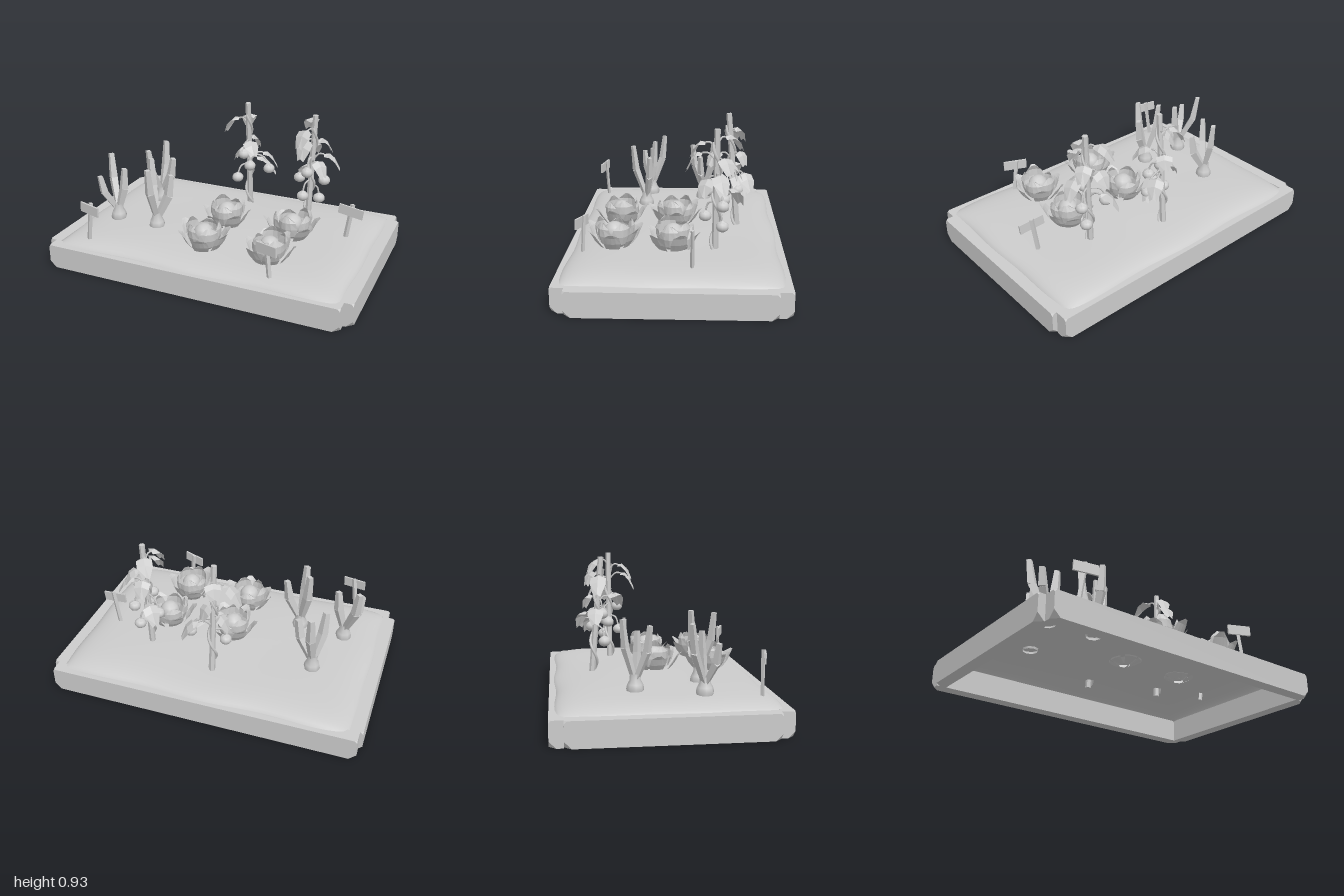
import * as THREE from 'three';
import { ParametricGeometry } from 'three/addons/geometries/ParametricGeometry.js';
import { ConvexGeometry } from 'three/addons/geometries/ConvexGeometry.js';

const smooth = new THREE.MeshStandardMaterial({ color: 0xcccccc, side: THREE.DoubleSide });
const faceted = new THREE.MeshStandardMaterial({ color: 0xcccccc, side: THREE.DoubleSide, flatShading: true });
const V = (x, y, z) => new THREE.Vector3(x, y, z);

function add(parent, name, geometry, material = faceted) {
  const mesh = new THREE.Mesh(geometry, material);
  mesh.name = name;
  parent.add(mesh);
  return mesh;
}

function group(parent, name) {
  const g = new THREE.Group();
  g.name = name;
  parent.add(g);
  return g;
}

// Straight tapered rod between two points
function rod(parent, name, a, b, r0, r1, sides = 6, flat = 1) {
  const mesh = add(parent, name, new THREE.CylinderGeometry(r1, r0, a.distanceTo(b), sides).scale(1, 1, flat));
  mesh.position.copy(a).lerp(b, 0.5);
  mesh.quaternion.setFromUnitVectors(V(0, 1, 0), b.clone().sub(a).normalize());
}

function tube(parent, name, points, radius, segments = 8) {
  add(parent, name, new THREE.TubeGeometry(new THREE.CatmullRomCurve3(points), segments, radius, 5), smooth);
}

// Linear lookup in a short list
function sample(list, t) {
  const f = t * (list.length - 1), i = Math.min(Math.floor(f), list.length - 2);
  return THREE.MathUtils.lerp(list[i], list[i + 1], f - i);
}

// Frame board whose outer corners are chipped off
function plank(parent, name, length, x, z, turn) {
  const points = [];
  for (const sx of [-1, 1]) for (const y of [0, 0.15]) {
    const px = sx * length / 2, c = y ? 0.015 : 0.04, up = y ? -c : c;
    points.push(V(px, y, -0.04), V(px - sx * c, y, 0.04), V(px, y + up, 0.04), V(px, y, 0.04 - c));
  }
  const mesh = add(parent, name, new ConvexGeometry(points));
  mesh.position.set(x, 0, z);
  mesh.rotation.y = turn;
}

// Gently domed soil with steep shoulders, a little higher along its left side
function soil(parent) {
  const ease = (s) => Math.sign(s) * (1 - Math.pow(1 - Math.abs(s), 1.7));
  const geo = new ParametricGeometry((u, v, p) => {
    const a = ease(u * 2 - 1), b = ease(1 - v * 2);
    const shoulder = Math.pow((1 - Math.pow(Math.abs(a), 12)) * (1 - Math.pow(Math.abs(b), 10)), 0.6);
    const dome = 0.022 * (1 - a * a * (0.55 - 0.45 * a)) * (1 - b * b);
    const y = 0.138 + shoulder * (0.052 + dome) + 0.004 * Math.sin(a * 5 + 1) * Math.cos(b * 4);
    p.set(a * (0.935 - 0.01 * b * b + 0.004 * Math.sin(b * 7)), y, b * (0.632 - 0.01 * a * a + 0.008 * Math.cos(a * 8)));
  }, 36, 28);
  add(parent, 'soil', geo, smooth);
}

// Leek: bulb and three stiff, kinked leaves
function leek(parent, x, z, tips) {
  const g = group(parent, 'leek');
  const profile = [[0.046, 0.188], [0.052, 0.215], [0.046, 0.24], [0.032, 0.265], [0.03, 0.3]];
  const bulb = add(g, 'leekBulb', new THREE.LatheGeometry(profile.map(([r, y]) => new THREE.Vector2(r, y)), 8), smooth);
  bulb.position.set(x, 0, z);
  for (const [tx, ty, tz] of tips) {
    const base = V(x, 0.25, z), tip = V(tx, ty, tz);
    const knee = V(x + (tx - x) * 0.8, 0.25 + (ty - 0.25) * 0.55, z + (tz - z) * 0.8);
    rod(g, 'leekLeafLower', base, knee, 0.022, 0.033, 4, 0.75);
    rod(g, 'leekLeafUpper', knee, tip, 0.033, 0.022, 4, 0.75);
  }
}

// Cabbage: round heart wrapped in rings of cupped, uneven leaves
function cabbage(parent, x, z, turn) {
  const g = group(parent, 'cabbage');
  g.position.set(x, 0.2, z);
  g.rotation.y = turn;
  add(g, 'cabbageHeart', new THREE.SphereGeometry(0.066, 10, 7), smooth).position.y = 0.085;
  const widths = [0.3, 0.8, 1, 0.85, 0.25];
  const rings = [
    { n: 5, w: 0.066, cup: 0.035, r: [0.035, 0.092, 0.11, 0.112, 0.095], y: [-0.015, 0.03, 0.08, 0.125, 0.16] },
    { n: 6, w: 0.052, cup: 0.015, r: [0.03, 0.095, 0.128, 0.15, 0.17], y: [-0.02, 0.008, 0.05, 0.095, 0.12] },
  ];
  rings.forEach(({ n, w, cup, r, y }, k) => {
    for (let i = 0; i < n; i++) {
      const lift = 1 + 0.1 * Math.sin(i * 2.3 + k), spread = 1 + 0.08 * Math.cos(i * 3.7 + turn);
      const geo = new ParametricGeometry((u, t, p) => {
        const s = u * 2 - 1;
        p.set(s * w * sample(widths, t), sample(y, t) * lift, sample(r, t) * spread - cup * s * s * Math.sin(t * Math.PI));
      }, 4, 4);
      const leaf = add(g, k ? 'cabbageOuterLeaf' : 'cabbageInnerLeaf', geo);
      leaf.rotation.y = (i / n) * Math.PI * 2 + k * 0.5 + 0.12 * Math.sin(i * 4 + turn);
    }
  });
}

// Broad drooping leaf, arched along its length and folded along the midrib
function droopingLeaf(parent, a, b, width) {
  const side = b.clone().sub(a).cross(V(0, 1, 0)).normalize();
  const widths = [0.35, 1, 1, 0.45];
  const geo = new ParametricGeometry((u, t, p) => {
    const s = u * 2 - 1;
    p.copy(a).lerp(b, t).addScaledVector(side, s * width * sample(widths, t));
    p.y += 0.04 * Math.sin(t * Math.PI) - 0.015 * Math.abs(s);
  }, 2, 3);
  add(parent, 'tomatoLeaf', geo);
}

// Tomato plant: stake, twining vine, leaves and hanging fruit
function tomatoPlant(parent, foot, top, leaves, fruits) {
  const g = group(parent, 'tomatoPlant');
  const along = (y) => foot.clone().lerp(top, (y - foot.y) / (top.y - foot.y));
  rod(g, 'stake', foot, top, 0.02, 0.018, 6);
  const vine = [];
  for (let i = 0; i <= 16; i++) {
    const angle = i * 0.9, reach = 0.028 - i * 0.0004;
    vine.push(along(0.18 + i * 0.042).add(V(Math.cos(angle) * reach, 0, Math.sin(angle) * reach)));
  }
  tube(g, 'vine', vine, 0.009, 48);
  for (const [ax, ay, az, bx, by, bz] of leaves) {
    const a = V(ax, ay, az), root = along(ay - 0.05);
    tube(g, 'leafStalk', [root, root.clone().lerp(a, 0.6).add(V(0, 0.02, 0)), a], 0.006);
    droopingLeaf(g, a, V(bx, by, bz), 0.048);
  }
  for (const [x, y, z] of fruits) {
    const crown = V(x, y + 0.026, z), root = along(y + 0.1);
    tube(g, 'fruitStalk', [root, root.clone().lerp(crown, 0.7).add(V(0, 0.035, 0)), crown], 0.006);
    const fruit = add(g, 'tomato', new THREE.SphereGeometry(0.039, 10, 7), smooth);
    fruit.scale.y = 0.82;
    fruit.position.set(x, y, z);
    const calyx = add(g, 'calyx', new THREE.ConeGeometry(0.028, 0.016, 5));
    calyx.position.set(x, y + 0.032, z);
  }
}

// Plant marker: slanted post with a blank board
function marker(parent, foot, top, boardY, width, turn, tilt) {
  const g = group(parent, 'plantMarker');
  rod(g, 'markerPost', foot, top, 0.016, 0.016, 4, 0.7);
  const board = add(g, 'markerBoard', new THREE.BoxGeometry(width, 0.062, 0.012));
  board.position.copy(foot).lerp(top, (boardY - foot.y) / (top.y - foot.y)).add(V(0, 0, 0.012));
  board.rotation.set(0, turn, tilt);
}

export function createModel() {
  const model = new THREE.Group();
  model.name = 'vegetableBed';

  const frame = group(model, 'frame');
  plank(frame, 'frontBoard', 1.9, -0.005, 0.62, 0);
  plank(frame, 'backBoard', 1.95, -0.005, -0.62, Math.PI);
  plank(frame, 'leftBoard', 1.16, 0.96, 0, Math.PI / 2);
  plank(frame, 'rightBoard', 1.16, -0.96, 0, -Math.PI / 2);
  soil(model);

  leek(model, -0.71, 0.21, [[-0.8, 0.61, 0.12], [-0.655, 0.55, 0.2], [-0.8, 0.5, 0.27]]);
  leek(model, -0.59, -0.17, [[-0.58, 0.61, -0.24], [-0.48, 0.53, -0.145], [-0.64, 0.58, -0.09]]);
  leek(model, -0.41, 0.23, [[-0.47, 0.64, 0.17], [-0.315, 0.56, 0.2], [-0.415, 0.62, 0.32]]);

  cabbage(model, -0.01, 0.01, 0.2);
  cabbage(model, -0.01, 0.36, 0.7);
  cabbage(model, 0.44, 0.01, 1.3);
  cabbage(model, 0.42, 0.36, 2.1);

  tomatoPlant(model, V(-0.005, 0.15, -0.39), V(-0.005, 0.93, -0.325), [
    [-0.07, 0.82, -0.34, -0.18, 0.71, -0.36],
    [0, 0.83, -0.36, -0.04, 0.76, -0.42],
    [0.01, 0.68, -0.28, 0.09, 0.62, -0.2],
    [0.07, 0.57, -0.41, 0.16, 0.47, -0.46],
    [0.05, 0.55, -0.36, 0.17, 0.44, -0.41],
    [-0.03, 0.6, -0.36, -0.11, 0.52, -0.37],
    [0, 0.68, -0.38, 0.04, 0.61, -0.43],
  ], [[-0.03, 0.57, -0.32], [0.03, 0.51, -0.28], [-0.07, 0.4, -0.31], [0.13, 0.47, -0.38]]);

  tomatoPlant(model, V(0.46, 0.15, -0.24), V(0.485, 0.93, -0.245), [
    [0.46, 0.85, -0.18, 0.43, 0.76, -0.09],
    [0.47, 0.79, -0.16, 0.45, 0.69, -0.07],
    [0.5, 0.76, -0.27, 0.58, 0.69, -0.32],
    [0.55, 0.68, -0.25, 0.65, 0.59, -0.28],
    [0.44, 0.56, -0.32, 0.36, 0.46, -0.39],
    [0.46, 0.72, -0.3, 0.45, 0.64, -0.39],
    [0.5, 0.64, -0.21, 0.58, 0.56, -0.16],
    [0.46, 0.88, -0.29, 0.4, 0.8, -0.39],
  ], [[0.46, 0.56, -0.19], [0.55, 0.49, -0.28], [0.38, 0.48, -0.29], [0.52, 0.36, -0.28], [0.44, 0.4, -0.18]]);

  marker(model, V(-0.735, 0.15, 0.535), V(-0.695, 0.44, 0.545), 0.4, 0.15, -0.25, -0.04);
  marker(model, V(0.495, 0.15, 0.545), V(0.465, 0.4, 0.535), 0.365, 0.15, -0.35, 0.04);
  marker(model, V(0.75, 0.15, -0.11), V(0.79, 0.43, -0.11), 0.385, 0.16, -0.1, -0.12);
  return model;
}
